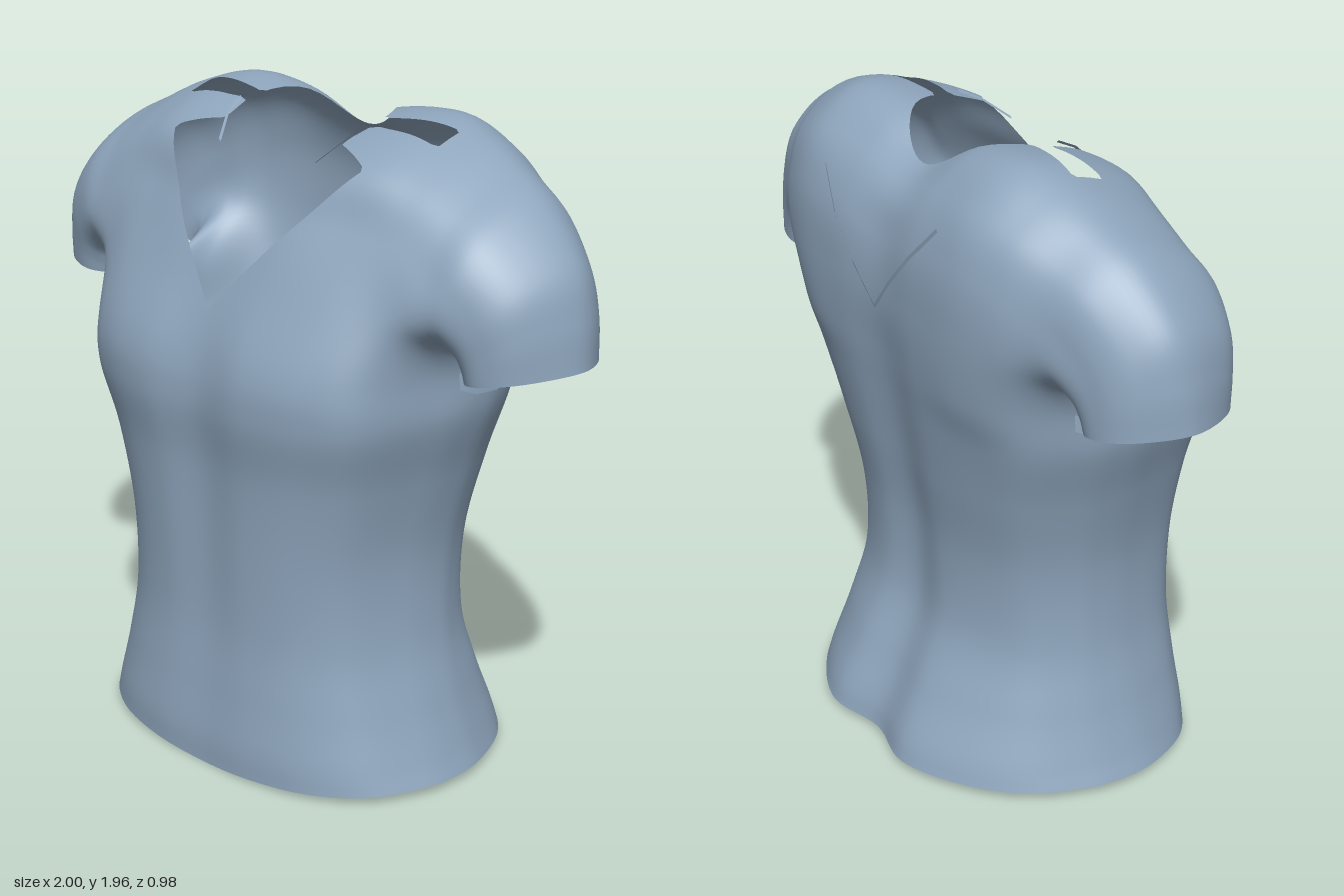
import * as THREE from 'three';
import { mergeVertices } from 'three/addons/utils/BufferGeometryUtils.js';

const fabric = new THREE.MeshStandardMaterial({ color: 0x8ea5bc, side: THREE.DoubleSide });
fabric.name = 'blueGreyFabric';

// Torso levels from hem to chest: y, half width, front z, back z
const TORSO = [
  [0.01, 0.65, 0.47, -0.485], [0.1, 0.622, 0.47, -0.46], [0.25, 0.575, 0.455, -0.39],
  [0.45, 0.53, 0.44, -0.315], [0.7, 0.525, 0.445, -0.31], [0.95, 0.575, 0.46, -0.35],
  [1.15, 0.635, 0.49, -0.385],
];
// Outline of a torso level: share of the width, then depth shares at hem and chest
const U = [0, 0.31, 0.615, 0.846, 0.97, 1];
const HEM_FRONT = [1, 0.99, 0.88, 0.64, 0.29, 0];
const HEM_BACK = [0.93, 1, 0.84, 0.58, 0.25, 0];
const CHEST_FRONT = [0.95, 1, 0.93, 0.75, 0.29, 0];
const CHEST_BACK = [0.95, 1, 0.94, 0.77, 0.35, 0];

// Arches from the centre over the shoulder to the sleeve hem:
// bottom x, y, top x, y, then z from bottom front over the top to bottom back
const ARCHES = [
  [0, 1.3, 0, 1.885, 0.45, 0.39, 0.31, 0.22, -0.1, -0.32, -0.39, -0.41, -0.39],
  [0.2, 1.3, 0.2, 1.94, 0.475, 0.39, 0.3, 0.195, -0.15, -0.325, -0.41, -0.425, -0.41],
  [0.4, 1.3, 0.4, 1.957, 0.44, 0.36, 0.255, 0.155, -0.16, -0.34, -0.41, -0.42, -0.4],
  [0.55, 1.3, 0.55, 1.918, 0.34, 0.305, 0.235, 0.125, -0.13, -0.31, -0.375, -0.38, -0.33],
  [0.63, 1.3, 0.68, 1.855, 0.11, 0.26, 0.225, 0.12, -0.11, -0.26, -0.32, -0.315, -0.17],
  [0.65, 1.3, 0.81, 1.78, -0.03, 0.22, 0.225, 0.13, -0.08, -0.23, -0.285, -0.275, -0.03],
  [0.65, 1.3, 0.94, 1.64, -0.03, 0.195, 0.205, 0.12, -0.06, -0.19, -0.255, -0.25, -0.03],
  [0.65, 1.3, 0.985, 1.5, -0.03, 0.18, 0.19, 0.11, -0.05, -0.18, -0.245, -0.235, -0.03],
  [0.65, 1.3, 1.0, 1.36, -0.03, 0.17, 0.18, 0.1, -0.04, -0.17, -0.24, -0.225, -0.03],
];
const RISE = [0, 0.3, 0.6, 0.85, 1, 0.85, 0.6, 0.3, 0];
const SIDE = 5; // station of the side seam and armpit
const LOW = TORSO.length;
const SUB = 8;

function torsoPoint([y, w, zf, zb], i, front) {
  const k = y / 1.3;
  const sideZ = 0.035 - 0.05 * k;
  const [hem, chest] = front ? [HEM_FRONT, CHEST_FRONT] : [HEM_BACK, CHEST_BACK];
  const share = hem[i] + (chest[i] - hem[i]) * k;
  const lift = y < 0.05 ? 0.018 * U[i] - (front ? 0.01 : -0.012) * (1 - U[i]) : 0;
  return [w * U[i], y + lift, sideZ + ((front ? zf : zb) - sideZ) * share];
}

// One column of control points: front hem, up, over the shoulder, down to back hem
function controlColumn(i) {
  const [bx, by, tx, ty, ...zs] = ARCHES[i];
  const arch = zs.map((z, k) => [bx + (tx - bx) * RISE[k], by + (ty - by) * RISE[k], z]);
  // past the side seam the points only steer the curves round the side and under the arm
  const torso = (front) => TORSO.map((level) => {
    if (i > SIDE + 1) return arch[front ? 7 : 1];
    return i > SIDE ? torsoPoint(level, SIDE - 1, !front) : torsoPoint(level, i, front);
  });
  return [...torso(true), ...arch, ...torso(false).reverse()];
}

const blend = (a, b, f) => a.map((v, k) => f(v, b[k]));

// Smooth curve through points, with given neighbours beyond its ends
function smooth(pts, before, after) {
  const all = [before, ...pts, after], out = [];
  for (let i = 1; i < all.length - 2; i++) {
    const last = i === all.length - 3;
    for (let s = 0; s < SUB + (last ? 1 : 0); s++) {
      const t = s / SUB;
      out.push(all[i].map((p, k) => {
        const a = all[i - 1][k], q = all[i + 1][k], b = all[i + 2][k];
        return p + 0.5 * t * (q - a + t * (2 * a - 5 * p + 4 * q - b + t * (3 * (p - q) + b - a)));
      }));
    }
  }
  return out;
}
const extend = (p, q) => blend(p, q, (a, b) => 2 * a - b);

// Neck openings: positive where the cloth stays
function keep([x, y, z]) {
  const neck = Math.max(Math.hypot(x, z) - 0.25, 1.5 - y);
  const vee = Math.max(1.42 + 1.12 * x - y, 0.11 + 0.43 * (x - 0.23) - z);
  const slit = Math.max(x - 0.5, z - 0.01, -0.05 - 0.16 * (x - 0.25) - z, 1.7 - y);
  return Math.min(neck, vee, slit);
}

// Cut a triangle along the edge of the openings
function clip(tri) {
  const d = tri.map(keep), poly = [];
  tri.forEach((p, i) => {
    const j = (i + 1) % 3;
    if (d[i] >= 0) poly.push(p);
    if ((d[i] >= 0) !== (d[j] >= 0)) {
      const t = d[i] / (d[i] - d[j]);
      poly.push(blend(p, tri[j], (a, b) => a + (b - a) * t));
    }
  });
  const out = [];
  for (let i = 1; i + 1 < poly.length; i++) out.push([poly[0], poly[i], poly[i + 1]]);
  return out;
}

function toGeometry(triangles) {
  const g = new THREE.BufferGeometry();
  g.setAttribute('position', new THREE.Float32BufferAttribute(triangles.flat(2), 3));
  const welded = mergeVertices(g, 1e-4);
  welded.computeVertexNormals();
  return welded;
}

// Whole shirt skin: half of it from the control grid, then mirrored
function shirtGeometry() {
  const columns = ARCHES.map((_, i) => controlColumn(i));
  const n = columns[0].length;
  const rows = [];
  for (let j = 0; j < n; j++) {
    const r = columns.map((c) => c[j]);
    rows.push(smooth(r, [-r[1][0], r[1][1], r[1][2]], extend(r[8], r[7])));
  }
  const grid = rows[0].map((_, i) => {
    const c = rows.map((r) => r[i]);
    return smooth(c, extend(c[0], c[1]), extend(c[n - 1], c[n - 2]));
  });
  const half = [];
  for (let i = 0; i + 1 < grid.length; i++) {
    for (let j = 0; j + 1 < grid[0].length; j++) {
      const torso = j < LOW * SUB || j >= (LOW + 8) * SUB;
      if (torso && i >= SIDE * SUB) continue;
      const a = grid[i][j], b = grid[i + 1][j], c = grid[i + 1][j + 1], d = grid[i][j + 1];
      half.push(...clip([a, b, c]), ...clip([a, c, d]));
    }
  }
  const flip = ([x, y, z]) => [-x, y, z];
  const other = half.map(([a, b, c]) => [flip(a), flip(c), flip(b)]);
  return toGeometry([...half, ...other]);
}

// Narrow strip of cloth along a path
function ribbon(name, path, width) {
  const tris = [];
  for (let i = 0; i + 1 < path.length; i++) {
    const a = path[i], b = path[i + 1];
    const c = blend(b, width, (p, w) => p + w), d = blend(a, width, (p, w) => p + w);
    tris.push([a, b, c], [a, c, d]);
  }
  const mesh = new THREE.Mesh(toGeometry(tris), fabric);
  mesh.name = name;
  return mesh;
}

export function createModel() {
  const model = new THREE.Group();
  model.name = 'vNeckShirt';
  const shirt = new THREE.Mesh(shirtGeometry(), fabric);
  shirt.name = 'shirtBody';
  model.add(shirt);

  for (const s of [1, -1]) {
    // Raised seam forming a V on the upper back
    model.add(ribbon('backSeam',
      [[0, 1.44, -0.418], [s * 0.1, 1.55, -0.43], [s * 0.2, 1.66, -0.424], [s * 0.3, 1.77, -0.393]], [0, 0.012, -0.004]));
    // Loose collar edge
    model.add(ribbon('collarEdge',
      [[s * 0.25, 1.925, 0.03], [s * 0.235, 1.89, 0.1], [s * 0.19, 1.83, 0.175]], [s * 0.008, 0.008, 0]));
    // Small gusset under the arm
    model.add(ribbon('underarmGusset',
      [[s * 0.655, 1.25, 0.07], [s * 0.672, 1.23, 0.02], [s * 0.678, 1.225, -0.06], [s * 0.672, 1.235, -0.13], [s * 0.655, 1.26, -0.18]],
      [-s * 0.004, 0.05, 0]));
  }
  return model;
}
